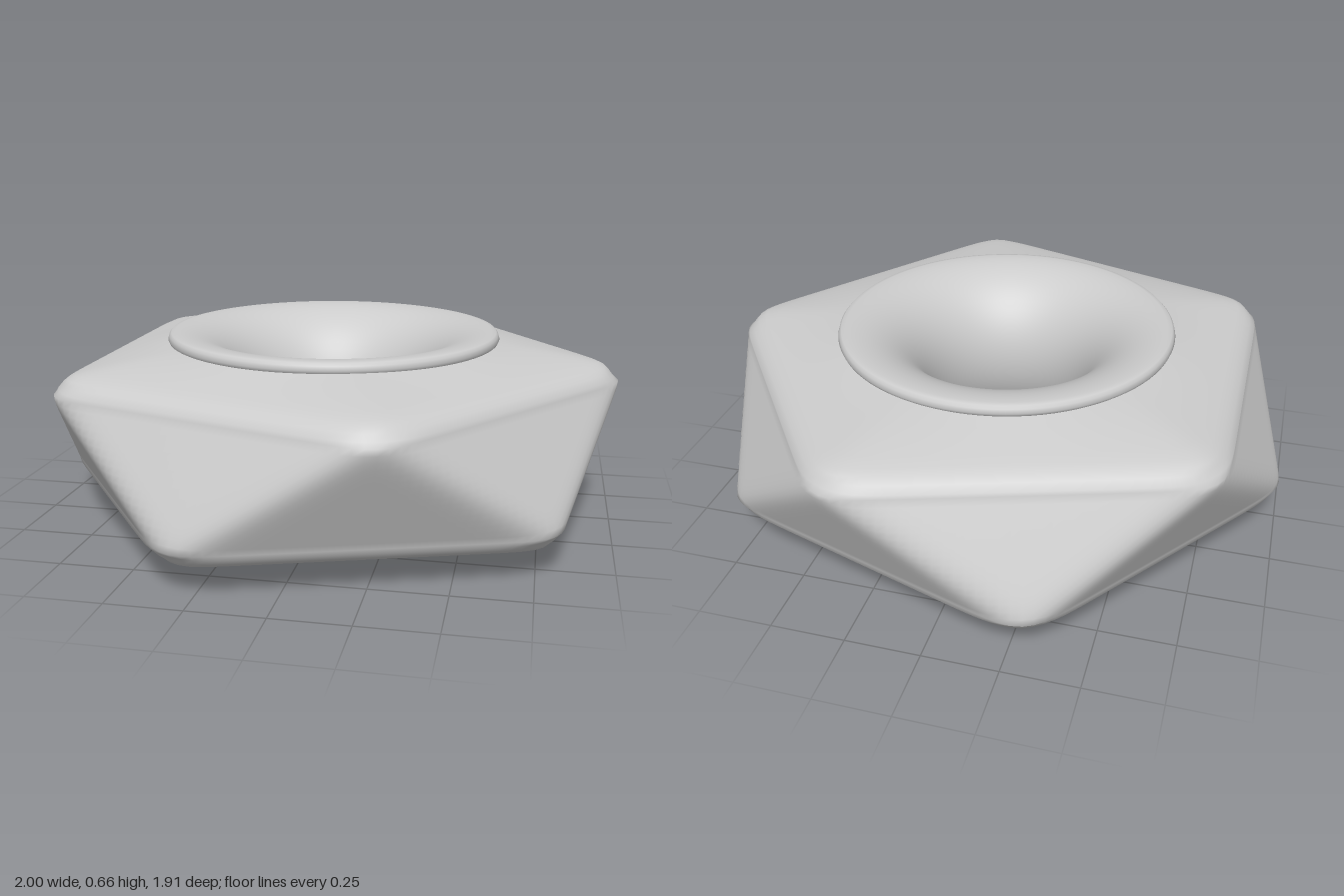
import * as THREE from 'three';

const HEIGHT = 0.66, COLS = 180, MID = HEIGHT / 2;
const STEP = Math.PI / 5;

// Softened outline: five planes at distance dA (0, 72.. degrees), five at dB (36, 108.. degrees)
function outline(angle, dA, dB) {
  let sum = 0;
  for (let i = 0; i < 10; i++) {
    const c = Math.cos(angle - i * STEP);
    if (c > 0) sum += Math.pow(c / (i % 2 ? dB : dA), 44);
  }
  return Math.pow(sum, -1 / 44);
}

// Twisted five-sided body lofted from horizontal rings
function bodyGeometry() {
  // Upper cap rings: y, dA, dB, blend towards the round rim
  const cap = [
    [0.525, 0.985, 0.84, 0], [0.545, 0.973, 0.82, 0], [0.56, 0.965, 0.798, 0],
    [0.572, 0.95, 0.77, 0], [0.583, 0.92, 0.74, 0.06], [0.597, 0.9, 0.73, 0.3],
    [0.61, 0.9, 0.73, 0.6], [0.62, 0.9, 0.73, 0.82], [0.628, 0.9, 0.73, 1],
  ];
  const sides = [];
  for (let i = 0; i <= 16; i++) {
    const t = i / 16;
    sides.push([0.15 + 0.36 * t, 0.84 + 0.17 * t, 1.01 - 0.17 * t, 0]);
  }
  // The lower cap is the upper one turned over and rotated by half a side
  const lower = cap.map(([y, a, b, k]) => [HEIGHT - y, b, a, k]).reverse();
  const rings = [...lower, ...sides, ...cap];

  const pos = [], index = [];
  rings.forEach(([y, a, b, k], j) => {
    for (let i = 0; i < COLS; i++) {
      const angle = (i / COLS) * Math.PI * 2;
      const r = THREE.MathUtils.lerp(outline(angle, a, b), 0.565, k);
      pos.push(r * Math.cos(angle), y, r * Math.sin(angle));
      if (j === rings.length - 1) continue;
      const p = j * COLS + i, q = j * COLS + (i + 1) % COLS;
      index.push(p, p + COLS, q, q, p + COLS, q + COLS);
    }
  });
  const geometry = new THREE.BufferGeometry();
  geometry.setAttribute('position', new THREE.Float32BufferAttribute(pos, 3));
  geometry.setIndex(index);
  geometry.computeVertexNormals();
  return geometry;
}

// Flared bore with a thin raised rim at each end
function boreGeometry() {
  const rim = [[0.565, 0.612], [0.582, 0.62], [0.588, 0.634], [0.584, 0.648], [0.576, 0.657]];
  const points = rim.map(([r, y]) => new THREE.Vector2(r, y));
  for (let i = 0; i <= 32; i++) {
    const a = Math.PI / 2 + (i / 32) * Math.PI;
    points.push(new THREE.Vector2(0.56 + 0.3 * Math.cos(a), MID + MID * Math.sin(a)));
  }
  [...rim].reverse().forEach(([r, y]) => points.push(new THREE.Vector2(r, HEIGHT - y)));
  return new THREE.LatheGeometry(points, 96);
}

export function createModel() {
  const group = new THREE.Group();
  group.name = 'facetedBead';
  const material = new THREE.MeshStandardMaterial({ color: 0xcccccc });
  const add = (name, geometry) => {
    const mesh = new THREE.Mesh(geometry, material);
    mesh.name = name;
    group.add(mesh);
  };
  add('body', bodyGeometry());
  add('boreAndRims', boreGeometry());
  return group;
}
